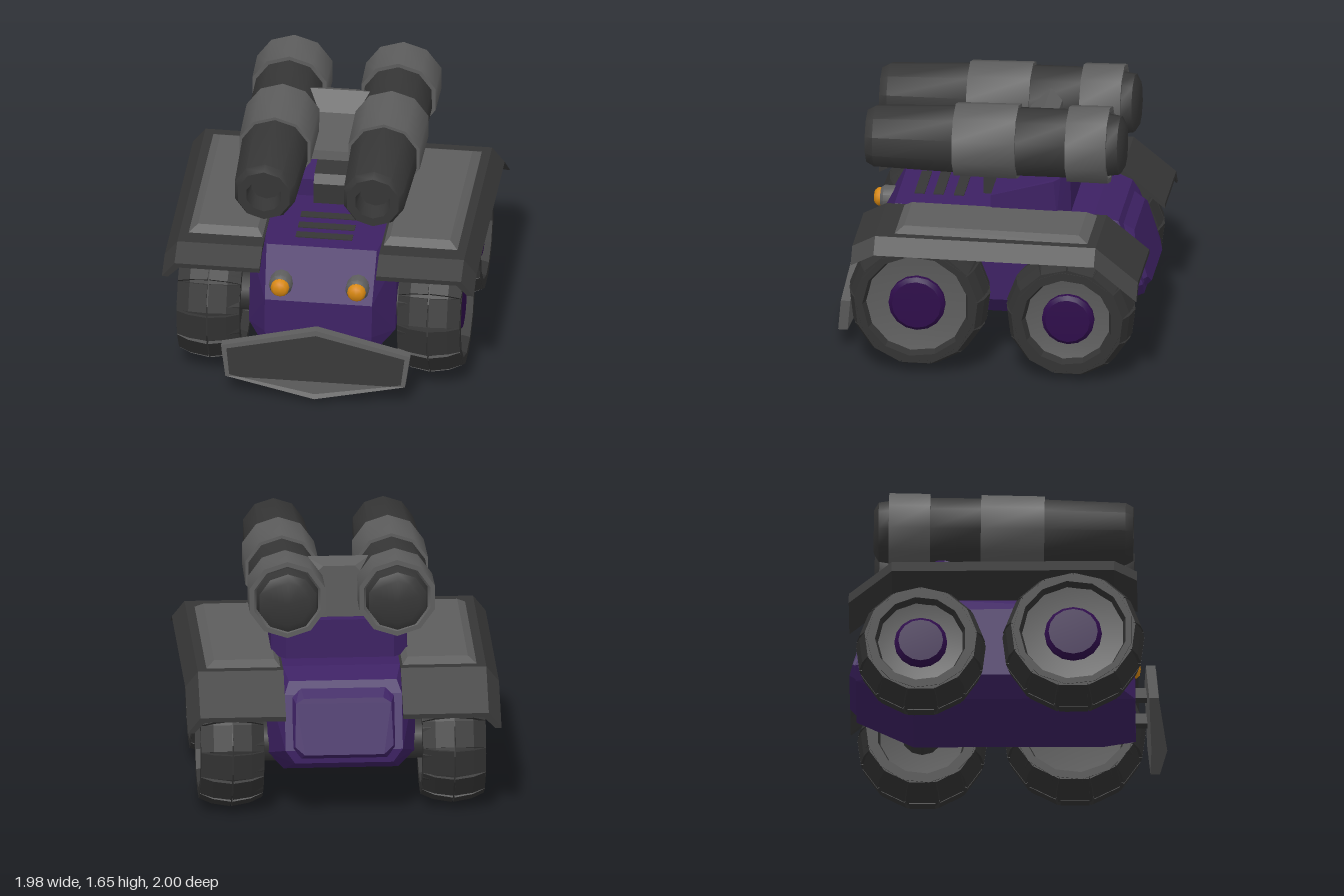
import * as THREE from 'three';
import { toCreasedNormals } from 'three/addons/utils/BufferGeometryUtils.js';
import { ConvexGeometry } from 'three/addons/geometries/ConvexGeometry.js';

const mat = (name, color) => new THREE.MeshStandardMaterial({ name, color });
const purple = mat('purple', 0x3d2163);
const deepPurple = mat('deep purple', 0x2e0c4a);
const dark = mat('dark grey', 0x363636);
const tyreMat = mat('tyre grey', 0x333333);
const grey = mat('mid grey', 0x5d5d5d);
const orange = mat('orange', 0xd88812);

function add(parent, name, geometry, material, x = 0, y = 0, z = 0) {
  const m = new THREE.Mesh(geometry, material);
  m.name = name;
  m.position.set(x, y, z);
  parent.add(m);
  return m;
}

// Faceted solid spanning the given points; "both" mirrors them across x = 0
const hull = (pts) => new ConvexGeometry(pts.map((p) => new THREE.Vector3(...p)));
const both = (pts) => pts.flatMap(([x, y, z]) => (x === 0 ? [[x, y, z]] : [[x, y, z], [-x, y, z]]));

// Turned shape from [radius, along] points, smooth around and sharp at steps
function turned(profile, sides, crease = 0.7) {
  const pts = profile.map(([r, a]) => new THREE.Vector2(Math.max(r, 0.0001), a));
  return toCreasedNormals(new THREE.LatheGeometry(pts, sides), crease);
}
const alongZ = (...a) => turned(...a).rotateX(Math.PI / 2);
const alongX = (...a) => turned(...a).rotateZ(-Math.PI / 2);

// Bent mudguard: one cross-section swept over a front-to-back path
function fenderGeometry(s) {
  const section = [[0.37, 0], [0.91, 0], [0.99, -0.1], [0.95, -0.1], [0.88, -0.03], [0.37, -0.03]];
  const path = [[0.815, 0.86], [0.67, 0.935], [-0.73, 0.93], [-1, 0.71]];
  const P = (i, j) => [s * section[j][0], path[i][1] + section[j][1], path[i][0]];
  const out = [];
  const quad = (a, b, c, d) => {
    const q = s > 0 ? [a, b, c, a, c, d] : [a, c, b, a, d, c];
    q.forEach((p) => out.push(...p));
  };
  for (let i = 0; i < path.length - 1; i++) {
    for (let j = 0; j < 6; j++) {
      const k = (j + 1) % 6;
      quad(P(i, j), P(i, k), P(i + 1, k), P(i + 1, j));
    }
  }
  const e = path.length - 1;
  quad(P(0, 0), P(0, 5), P(0, 4), P(0, 1));
  quad(P(0, 1), P(0, 4), P(0, 3), P(0, 2));
  quad(P(e, 0), P(e, 1), P(e, 4), P(e, 5));
  quad(P(e, 1), P(e, 2), P(e, 3), P(e, 4));
  const g = new THREE.BufferGeometry();
  g.setAttribute('position', new THREE.Float32BufferAttribute(out, 3));
  g.computeVertexNormals();
  return g;
}

// Wheel with its outer face towards +x
function makeWheel(name, R, rim, hub) {
  const w = new THREE.Group();
  w.name = name;
  const sides = 13;
  const T = R - 0.005;
  add(w, 'tyre', alongX([[rim - 0.02, -0.14], [rim, -0.2], [T - 0.05, -0.2], [T - 0.018, -0.12], [T, 0],
    [T - 0.022, 0.12], [T - 0.06, 0.2], [rim, 0.2], [rim - 0.02, 0.14]], sides, 0.1), tyreMat);
  add(w, 'innerDisc', alongX([[0, -0.13], [rim, -0.15], [rim, 0]], 26), dark);
  add(w, 'rim', alongX([[rim, 0], [rim, 0.15], [hub, 0.12], [0, 0.12]], 26), grey);
  add(w, 'hub', alongX([[hub, 0.1], [hub, 0.15], [hub - 0.025, 0.175], [0, 0.18]], 16), deepPurple);
  // Raised tread blocks, two on each facet
  const flat = T * Math.cos(Math.PI / sides);
  for (let i = 0; i < sides; i++) {
    const block = new THREE.Group();
    block.name = 'treadBlocks';
    block.rotation.x = ((i + 0.5) / sides) * Math.PI * 2;
    for (const s of [-1, 1]) {
      const h = flat + 0.012;
      const x0 = 0.005 * s, x1 = 0.12 * s, x2 = 0.198 * s;
      const L = R * 0.205;
      const pts = [];
      for (const z of [-L, L]) {
        pts.push([x0, h, z], [x1, h - 0.02, z], [x2, h - 0.055, z],
          [x0, flat - 0.06, z], [x2, flat - 0.08, z]);
      }
      add(block, 'treadBlock', hull(pts), tyreMat);
    }
    w.add(block);
  }
  return w;
}

// Cannon dipping slightly towards the muzzle
function makeCannon(x) {
  const c = new THREE.Group();
  c.name = 'cannon';
  c.position.set(x, 1.392, 0);
  c.rotation.x = 0.012;
  add(c, 'barrel', alongZ([[0.2, 0.2], [0.218, 0.22], [0.2, 0.74], [0.172, 0.79], [0.115, 0.79], [0.1, 0.66], [0, 0.66]], 10), dark);
  add(c, 'frontBand', alongZ([[0.2, -0.17], [0.243, -0.17], [0.238, 0.23], [0.2, 0.23]], 10), grey);
  add(c, 'middleTube', alongZ([[0.222, -0.5], [0.222, -0.16]], 10), dark);
  add(c, 'rearBand', alongZ([[0.2, -0.72], [0.22, -0.75], [0.251, -0.75], [0.248, -0.49], [0.2, -0.49]], 10), grey);
  add(c, 'rearCap', alongZ([[0, -0.845], [0.14, -0.845], [0.19, -0.815], [0.205, -0.72]], 10), dark);
  return c;
}

export function createModel() {
  const g = new THREE.Group();

  // Hull with sloped nose and tail
  add(g, 'body', hull(both([
    [0.35, 0.93, 0.62], [0.34, 0.62, 0.785], [0.34, 0.4, 0.8], [0.32, 0.25, 0.8],
    [0.37, 0.93, 0.5], [0.465, 0.82, 0.5], [0.465, 0.35, 0.6], [0.36, 0.235, 0.6],
    [0.37, 0.93, -0.65], [0.465, 0.8, -0.65], [0.465, 0.36, -0.65], [0.36, 0.235, -0.6],
    [0.34, 0.88, -0.8], [0.37, 0.8, -0.84], [0.37, 0.47, -0.96], [0.31, 0.385, -0.96],
  ])), purple);
  add(g, 'rearPanel', hull(both([
    [0.27, 0.85, -0.8], [0.33, 0.8, -0.82], [0.33, 0.47, -0.93], [0.28, 0.4, -0.94],
    [0.25, 0.79, -0.89], [0.3, 0.76, -0.9], [0.31, 0.5, -0.98], [0.25, 0.45, -1],
  ])), purple);
  for (const z of [0.235, 0.365, 0.485]) {
    add(g, 'deckVent', new THREE.BoxGeometry(0.36, 0.008, 0.065), dark, 0, 0.932, z);
  }

  // Turret base and its dark front block
  add(g, 'turret', hull(both([
    [0.43, 0.93, 0], [0.43, 1.05, 0], [0.43, 1.165, -0.4], [0.4, 1.18, -0.44],
    [0.43, 0.93, -0.42], [0.34, 1.18, -0.495], [0.34, 0.93, -0.5],
  ])), purple);
  add(g, 'turretBlock', hull(both([
    [0.12, 0.93, 0.085], [0.12, 1.07, 0.085], [0.12, 1.12, 0.04], [0.12, 1.14, -0.19], [0.12, 0.93, -0.19],
  ])), dark);

  // Cannon bracket and cannons
  add(g, 'cannonBracket', hull(both([
    [0.2, 1.14, -0.1], [0.22, 1.2, -0.11], [0.2, 1.44, -0.18], [0.2, 1.54, -0.3],
    [0.1, 1.5, -0.385], [0.2, 1.4, -0.385], [0.22, 1.2, -0.385], [0.2, 1.14, -0.385],
  ])), grey);
  for (const s of [1, -1]) g.add(makeCannon(0.346 * s));

  for (const s of [1, -1]) {
    const side = s > 0 ? 'left' : 'right';
    // Mudguard with raised panel
    add(g, side + 'Fender', fenderGeometry(s), dark);
    add(g, side + 'FenderPanel', hull([
      [0.38, 0.93, 0.56], [0.86, 0.93, 0.56], [0.86, 0.925, -0.68], [0.38, 0.925, -0.68],
      [0.42, 0.972, 0.5], [0.8, 0.972, 0.5], [0.8, 0.965, -0.61], [0.42, 0.965, -0.61],
    ].map(([x, y, z]) => [x * s, y, z])), grey);

    // Wheels and axles
    const wheels = [['FrontWheel', 0.445, 0.34, 0.18, 0.463, 0.413], ['RearWheel', 0.406, 0.288, 0.166, 0.405, -0.547]];
    for (const [name, R, rim, hub, y, z] of wheels) {
      const w = makeWheel(side + name, R, rim, hub);
      w.position.set(0.7 * s, y, z);
      if (s < 0) w.rotation.y = Math.PI;
      g.add(w);
      add(g, 'axle', new THREE.CylinderGeometry(0.13, 0.13, 0.2, 12).rotateZ(Math.PI / 2), dark, 0.5 * s, y, z);
    }

    // Headlamps
    add(g, 'lampRing', alongZ([[0.075, 0.65], [0.075, 0.765], [0.06, 0.785], [0, 0.785]], 12), grey, 0.243 * s, 0.718, 0);
    add(g, 'lamp', alongZ([[0.06, 0.77], [0.058, 0.805], [0.04, 0.825], [0, 0.832]], 12, 1), orange, 0.243 * s, 0.718, 0);

    // Plough arms
    add(g, 'ploughArm', new THREE.BoxGeometry(0.07, 0.07, 0.16), dark, 0.19 * s, 0.335, 0.82);
  }

  // Plough: upright plate, lower lip and dark inset faces
  const zf = (y) => (y >= 0.14 ? 0.95 - 0.1 * (y - 0.14) : 0.95 + 0.5 * (0.14 - y));
  const zb = (y) => 0.89 - 0.1 * (y - 0.14);
  const plate = (pts, front, back) => hull(both(pts.flatMap(([x, y]) => [[x, y, front(y)], [x, y, back(y)]])));
  add(g, 'ploughPlate', plate([[0.6, 0.35], [0, 0.49], [0.57, 0.14]], zf, zb), grey);
  add(g, 'ploughLip', plate([[0.57, 0.14], [0, 0.04]], zf, zb), grey);
  const raised = (y) => zf(y) + 0.003;
  const sunk = (y) => zf(y) - 0.004;
  add(g, 'ploughInset', plate([[0.565, 0.33], [0, 0.455], [0.545, 0.155], [0.48, 0.14]], raised, sunk), dark);
  add(g, 'ploughLipInset', plate([[0.48, 0.14], [0, 0.07]], raised, sunk), dark);

  return g;
}
